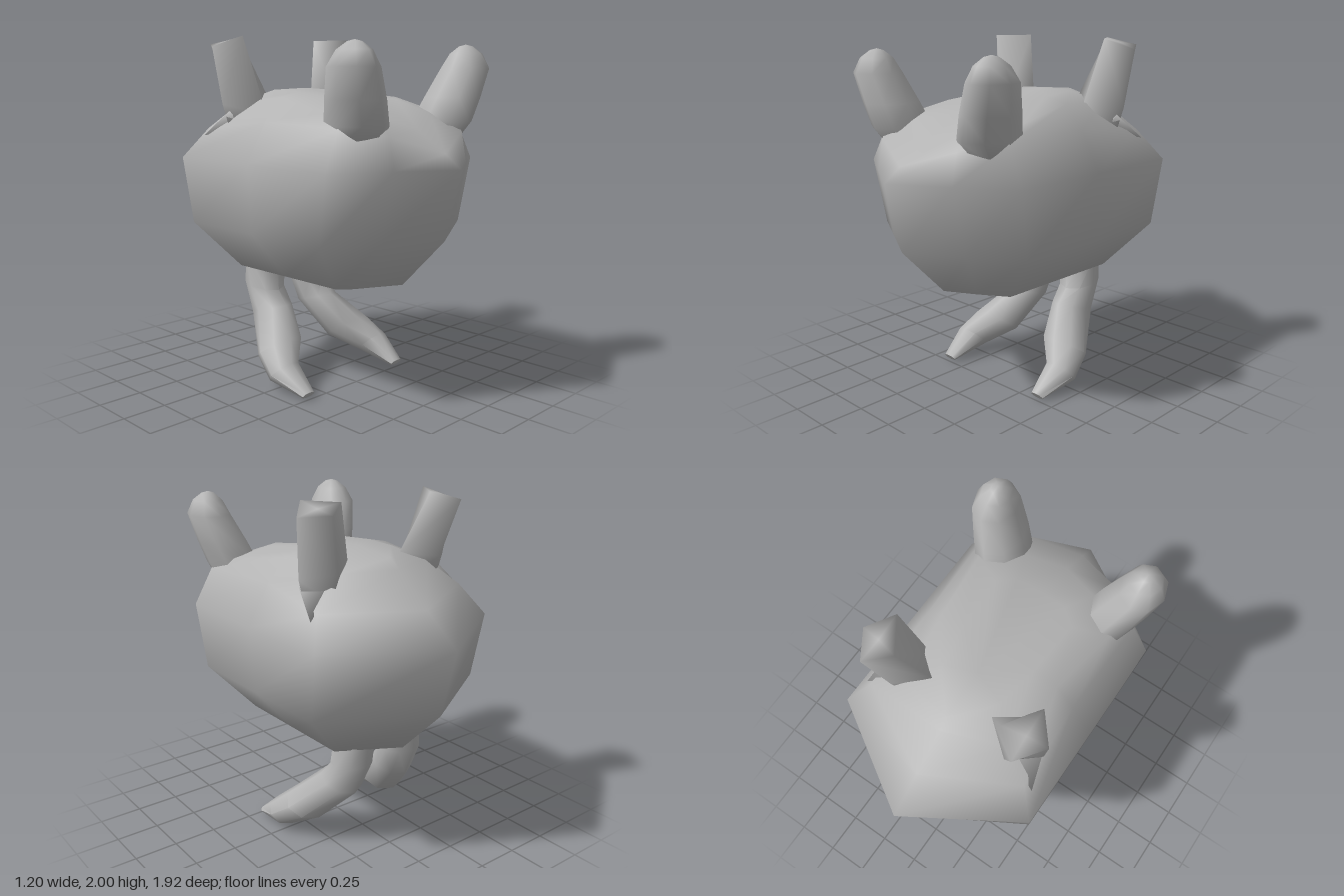
import * as THREE from 'three';
import { toCreasedNormals } from 'three/addons/utils/BufferGeometryUtils.js';

const grey = new THREE.MeshStandardMaterial({ color: 0xb4b4b4 });
grey.name = 'plain grey';

// Skin a list of equal-length rings of [x, y, z] and close both ends.
function loft(rings, endA, endB, crease) {
  const n = rings[0].length;
  const points = rings.flat();
  const centre = (ring) => [0, 1, 2].map((k) => ring.reduce((s, p) => s + p[k], 0) / n);
  const a = points.push(endA || centre(rings[0])) - 1;
  const b = points.push(endB || centre(rings[rings.length - 1])) - 1;
  const last = (rings.length - 1) * n;
  let faces = [];
  for (let j = 0; j < n; j++) {
    const k = (j + 1) % n;
    faces.push([a, k, j], [b, last + j, last + k]);
    for (let r = 0; r < last; r += n) {
      faces.push([r + j, r + k, r + n + k], [r + j, r + n + k, r + n + j]);
    }
  }
  // Turn the faces outward, whichever way the rings run.
  const v = points.map((p) => new THREE.Vector3(...p));
  const volume = faces.reduce((s, [i, j, k]) => s + v[i].dot(v[j].clone().cross(v[k])), 0);
  if (volume < 0) faces = faces.map(([i, j, k]) => [i, k, j]);
  const geometry = new THREE.BufferGeometry();
  geometry.setAttribute('position', new THREE.Float32BufferAttribute(points.flat(), 3));
  geometry.setIndex(faces.flat());
  geometry.computeVertexNormals();
  return crease ? toCreasedNormals(geometry, crease) : geometry;
}

// Ring round a centre, spanned by half the x width and a half vector in y and z.
function oval([x, y, z], halfX, [halfY, halfZ], count = 8) {
  return Array.from({ length: count }, (_, i) => {
    const t = (i / count) * Math.PI * 2;
    const s = Math.sin(t);
    return [x + Math.cos(t) * halfX, y + s * halfY, z + s * halfZ];
  });
}

export function createModel() {
  const model = new THREE.Group();
  model.name = 'creature';

  function add(name, geometry) {
    const mesh = new THREE.Mesh(geometry, grey);
    mesh.name = name;
    model.add(mesh);
  }

  function addPair(name, rings, endA, endB, crease) {
    for (const side of [1, -1]) {
      const flip = (p) => p && [p[0] * side, p[1], p[2]];
      add((side > 0 ? 'left' : 'right') + name,
        loft(rings.map((r) => r.map(flip)), flip(endA), flip(endB), crease));
    }
  }

  // Body: half rings from front to back, mirrored across x
  const halfRings = [
    [[0, 0.65, 0.59], [0.17, 0.65, 0.5], [0.33, 0.65, 0.4], [0.33, 0.65, 0], [0.33, 0.65, -0.4], [0, 0.65, -0.59]],
    [[0, 0.93, 0.865], [0.3, 0.93, 0.69], [0.575, 0.93, 0.53], [0.575, 0.93, 0], [0.575, 0.93, -0.53], [0, 0.93, -0.865]],
    [[0, 1.31, 0.96], [0.3, 1.31, 0.775], [0.6, 1.31, 0.59], [0.6, 1.31, 0], [0.6, 1.31, -0.59], [0, 1.31, -0.96]],
    [[0, 1.385, 0.86], [0.3, 1.48, 0.74], [0.49, 1.52, 0.57], [0.47, 1.53, 0], [0.49, 1.48, -0.48], [0, 1.47, -0.74]],
    [[0, 1.5, 0.68], [0.22, 1.58, 0.58], [0.42, 1.59, 0.42], [0.36, 1.66, 0], [0.31, 1.63, -0.4], [0, 1.64, -0.52]],
    [[0, 1.62, 0.42], [0.15, 1.65, 0.4], [0.24, 1.66, 0.32], [0.22, 1.69, 0], [0.18, 1.7, -0.25], [0, 1.69, -0.45]],
  ];
  const bodyRings = halfRings.map((half) =>
    half.concat(half.slice(1, 5).reverse().map(([x, y, z]) => [-x, y, z])));
  add('body', loft(bodyRings, [0, 0.55, 0.2], [0, 1.71, -0.18]));

  // Rounded front knobs: [x, y, z, half width, half depth]
  const knob = [
    [0.33, 1.42, 0.52, 0.13, 0.14],
    [0.35, 1.53, 0.565, 0.145, 0.185],
    [0.395, 1.66, 0.6, 0.14, 0.17],
    [0.453, 1.82, 0.64, 0.122, 0.145],
    [0.453, 1.9, 0.645, 0.085, 0.095],
    [0.45, 1.94, 0.645, 0.035, 0.04],
  ].map(([x, y, z, w, d]) => oval([x, y, z], w, [0, d]));
  addPair('FrontKnob', knob, null, [0.45, 1.95, 0.645]);

  // Blocky rear horns with soft edges, turned outward and cut off flat
  const horn = [
    [[0.22, 1.5, -0.3], [0.35, 1.5, -0.42], [0.46, 1.48, -0.32], [0.34, 1.5, -0.22]],
    [[0.18, 1.67, -0.32], [0.35, 1.65, -0.46], [0.5, 1.62, -0.33], [0.3, 1.56, -0.18]],
    [[0.3, 2, -0.42], [0.43, 1.96, -0.525], [0.535, 1.94, -0.37], [0.42, 2, -0.24]],
  ];
  addPair('RearHorn', horn);

  // Pointed skin fold running down behind each horn
  const fold = [[[0.33, 1.6, -0.4], [0.48, 1.58, -0.3], [0.4, 1.48, -0.3]]];
  addPair('HornFold', fold, [0.36, 1.5, -0.3], [0.53, 1.44, -0.47]);

  // Legs curving down, outward and forward: back edge y z, front edge y z, inner x, outer x
  const leg = [
    [0.7, -0.49, 0.66, -0.25, 0.05, 0.28],
    [0.54, -0.49, 0.5, -0.23, 0.07, 0.29],
    [0.35, -0.41, 0.42, -0.15, 0.08, 0.3],
    [0.13, -0.2, 0.27, 0, 0.14, 0.44],
    [0.04, -0.03, 0.17, 0.1, 0.28, 0.475],
    [0, 0.22, 0.04, 0.25, 0.33, 0.42],
  ].map(([y1, z1, y2, z2, x1, x2]) => oval(
    [(x1 + x2) / 2, (y1 + y2) / 2, (z1 + z2) / 2], (x2 - x1) / 2, [(y2 - y1) / 2, (z2 - z1) / 2]));
  addPair('Leg', leg, null, null, 1);

  return model;
}
